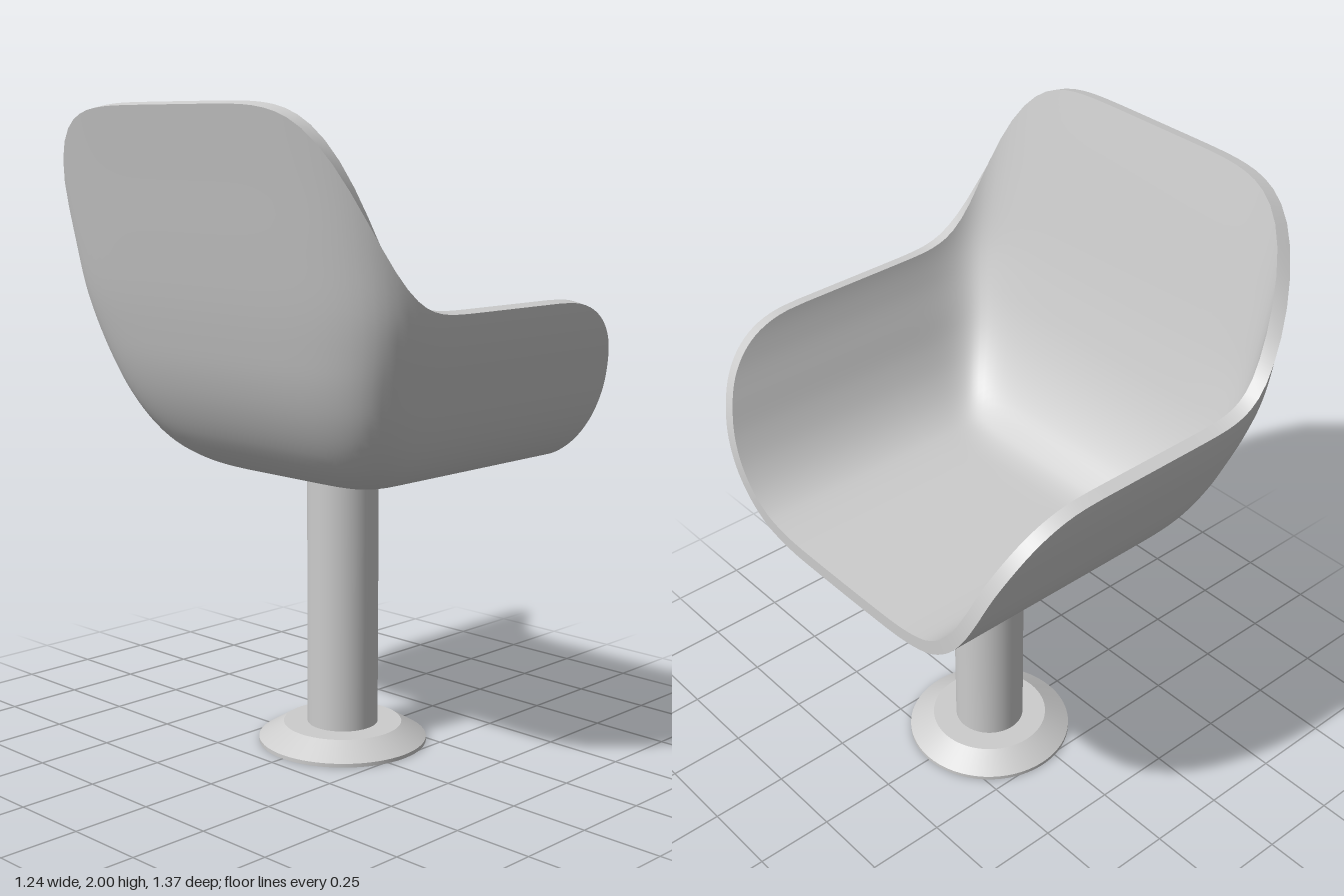
import * as THREE from 'three';

const THICKNESS = 0.042, SIDE_TOP = 1.43, BACK_TOP = 1.99;
const ROWS = 48, STRAIGHT = 14, ARC = 72;

// Bowl profile: (half width of the sides, height, depth of the back)
const profile = new THREE.CatmullRomCurve3([
  [0, 0.875, 0], [0.15, 0.876, 0.08], [0.25, 0.879, 0.14], [0.33, 0.89, 0.19],
  [0.4, 0.912, 0.235], [0.47, 0.96, 0.3], [0.53, 1.03, 0.355], [0.58, 1.12, 0.405],
  [0.62, 1.22, 0.445], [0.66, 1.33, 0.477], [0.687, 1.44, 0.505], [0.7, 1.6, 0.54],
  [0.71, 1.8, 0.582], [0.715, 2.0, 0.625],
].map((p) => new THREE.Vector3(...p)));

// Profile parameter that reaches a given height
function paramAtHeight(y) {
  let lo = 0.2, hi = 1;
  for (let k = 0; k < 40; k++) {
    const mid = (lo + hi) / 2;
    if (profile.getPoint(mid).y < y) lo = mid; else hi = mid;
  }
  return lo;
}

// Furthest reach of the arms at a height: upright, then rounded off at the top
function armFront(y) {
  const t = THREE.MathUtils.clamp((y - 0.95) / (SIDE_TOP - 0.95), 0, 1);
  return 0.25 + 0.37 * Math.pow(1 - Math.pow(t, 2.5), 0.4);
}

// Outer surface. u: 0..1 left arm, 1..2 round the back, 2..3 right arm
function shellPoint(u, s) {
  const { x: width, y, z: depth } = profile.getPoint(s);
  if (u <= 1) return new THREE.Vector3((1 - u) * armFront(y), y, width);
  if (u >= 2) return new THREE.Vector3((u - 2) * armFront(y), y, -width);
  const a = (u - 1) * Math.PI, c = Math.cos(a), d = Math.sin(a);
  const r = Math.pow(c ** 6 + d ** 6, -1 / 6);
  return new THREE.Vector3(-depth * d * r, y, width * c * r);
}

// Height of the rim, sweeping from the arms up to the backrest
function rimHeight(u) {
  if (u <= 1 || u >= 2) return SIDE_TOP;
  const a = (u - 1) * Math.PI;
  const t = Math.atan2(Math.abs(Math.cos(a)) ** 3, Math.sin(a) ** 3);
  return SIDE_TOP + (BACK_TOP - SIDE_TOP) * Math.pow(Math.max(0, Math.cos(t)), 2.2);
}

// Matching point on the inner surface, one thickness along the normal
function innerPoint(u, s, p) {
  const normal = new THREE.Vector3(0, 1, 0);
  if (s > 0) {
    const e = 1e-3;
    const du = shellPoint(Math.min(3, u + e), s).sub(shellPoint(Math.max(0, u - e), s));
    const ds = p.clone().sub(shellPoint(u, s - Math.min(e, s)));
    normal.crossVectors(du, ds).normalize();
    if (normal.y < 0) normal.negate();
  }
  return p.clone().addScaledVector(normal, THICKNESS);
}

// Smooth surface through rows of points
function loft(rows) {
  const n = rows[0].length, index = [];
  for (let i = 0; i < rows.length - 1; i++) {
    for (let j = 0; j < n - 1; j++) {
      const a = i * n + j, b = a + 1, c = b + n, d = a + n;
      index.push(a, b, c, a, c, d);
    }
  }
  const geometry = new THREE.BufferGeometry().setFromPoints(rows.flat());
  geometry.setIndex(index);
  geometry.computeVertexNormals();
  return geometry;
}

export function createModel() {
  const model = new THREE.Group();
  model.name = 'pedestalChair';
  const grey = new THREE.MeshStandardMaterial({ color: 0xcccccc });
  grey.name = 'lightGrey';

  const add = (name, geometry, parent, x = 0, y = 0) => {
    const mesh = new THREE.Mesh(geometry, grey);
    mesh.name = name;
    mesh.position.set(x, y, 0);
    parent.add(mesh);
  };

  // Columns of the shell from arm to arm
  const us = [];
  for (let j = 0; j < STRAIGHT; j++) us.push(j / STRAIGHT);
  for (let j = 0; j <= ARC; j++) us.push(1 + j / ARC);
  for (let j = 1; j <= STRAIGHT; j++) us.push(2 + j / STRAIGHT);
  const tops = us.map((u) => paramAtHeight(rimHeight(u)));

  const outer = [], inner = [];
  for (let i = 0; i <= ROWS; i++) {
    const f = 1 - Math.pow(1 - i / ROWS, 1.6);
    outer.push(us.map((u, j) => shellPoint(u, tops[j] * f)));
    inner.push(us.map((u, j) => innerPoint(u, tops[j] * f, outer[i][j])));
  }

  // Rim path: up the left front edge, round the top, down the right front edge
  const rimPath = (rows) => [
    ...rows.map((r) => r[0]),
    ...rows[ROWS].slice(1, -1),
    ...rows.map((r) => r[r.length - 1]).reverse(),
  ];

  const seat = new THREE.Group();
  seat.name = 'seatShell';
  add('shellInside', loft(inner), seat);
  add('shellOutside', loft([...outer].reverse()), seat);
  add('shellRim', loft([rimPath(inner), rimPath(outer)]), seat);
  model.add(seat);

  // Column and round foot
  const pedestal = new THREE.Group();
  pedestal.name = 'pedestal';
  add('column', new THREE.CylinderGeometry(0.112, 0.112, 0.84, 48), pedestal, 0.0625, 0.47);
  add('footBevel', new THREE.CylinderGeometry(0.188, 0.267, 0.048, 64), pedestal, 0.0625, 0.036);
  add('footLip', new THREE.CylinderGeometry(0.267, 0.267, 0.012, 64), pedestal, 0.0625, 0.006);
  model.add(pedestal);

  return model;
}
